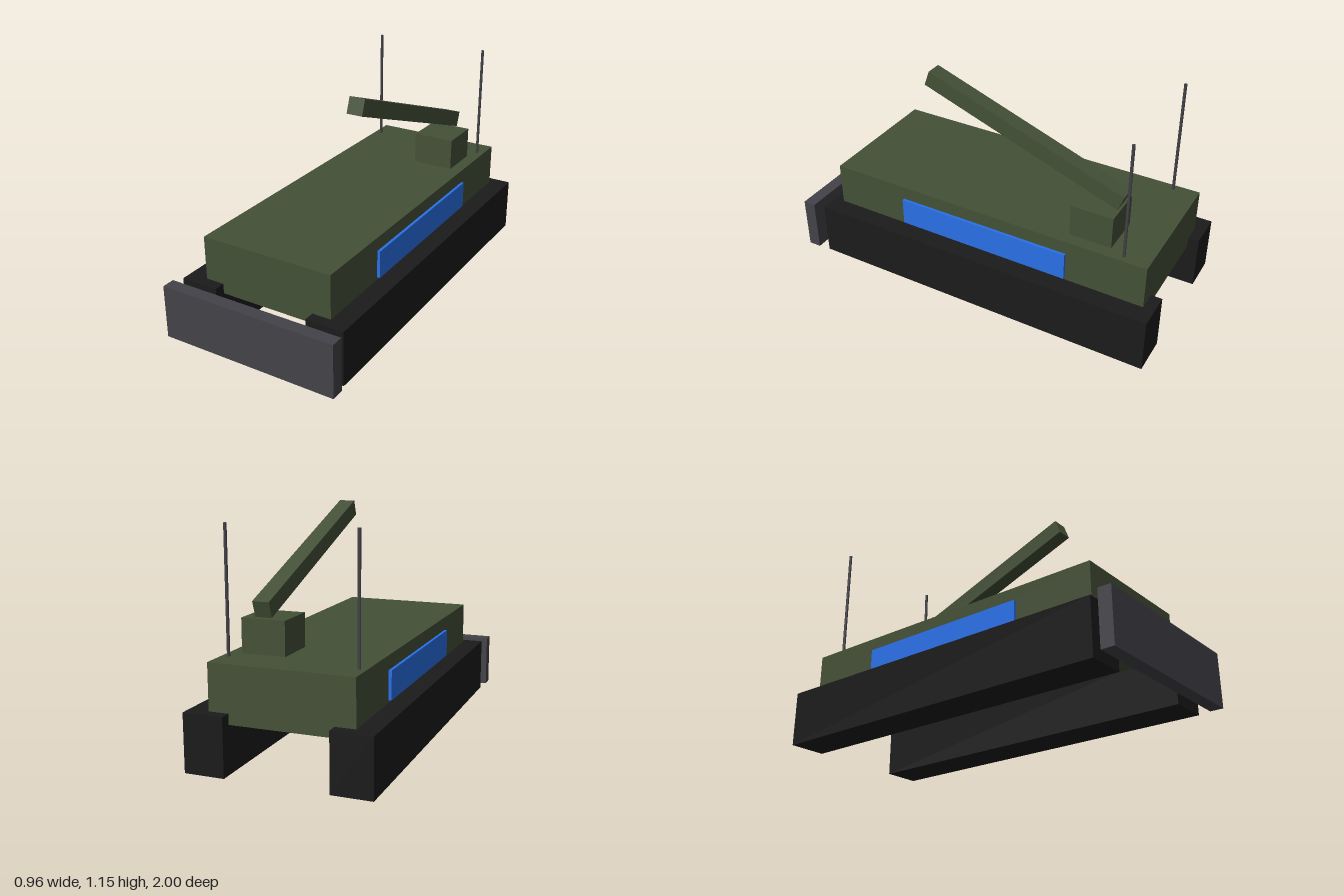
import * as THREE from 'three';

const mat = (name, color) => new THREE.MeshStandardMaterial({ name, color });

export function createModel() {
  const model = new THREE.Group();
  model.name = 'trackedVehicle';

  const green = mat('olive green', 0x445037);
  const black = mat('track black', 0x1b1b1b);
  const grey = mat('steel grey', 0x434248);
  const blue = mat('panel blue', 0x2a70e8);

  const add = (name, geometry, material, x, y, z) => {
    const mesh = new THREE.Mesh(geometry, material);
    mesh.name = name;
    mesh.position.set(x, y, z);
    model.add(mesh);
    return mesh;
  };

  // Box given by its limits on each axis
  const box = (name, material, [x0, x1], [y0, y1], [z0, z1]) =>
    add(name, new THREE.BoxGeometry(x1 - x0, y1 - y0, z1 - z0), material,
      (x0 + x1) / 2, (y0 + y1) / 2, (z0 + z1) / 2);

  // Hull sunk between the tracks, front blade and the block that carries the boom
  box('hull', green, [-0.356, 0.356], [0.235, 0.515], [-0.943, 0.825]);
  box('frontBlade', grey, [-0.478, 0.478], [0.014, 0.295], [0.932, 1]);
  box('boomMount', green, [0.071, 0.292], [0.515, 0.683], [-0.735, -0.515]);

  // Raised boom, tilted up towards the front
  const boom = add('boom', new THREE.BoxGeometry(0.084, 0.083, 1.127), green, 0.182, 0.921, -0.21);
  boom.rotation.x = -THREE.MathUtils.degToRad(20);

  // Mirrored tracks, side panels and antennas
  for (const [side, s] of [['left', 1], ['right', -1]]) {
    const span = (a, b) => (s > 0 ? [a, b] : [-b, -a]);
    box(side + 'Track', black, span(0.256, 0.457), [0, 0.287], [-1, 0.882]);
    box(side + 'SidePanel', blue, span(0.356, 0.371), [0.3, 0.444], [-0.53, 0.41]);
    add(side + 'Antenna', new THREE.CylinderGeometry(0.008, 0.008, 0.611, 8), grey,
      s * 0.32, 0.8205, -0.812);
  }
  return model;
}
